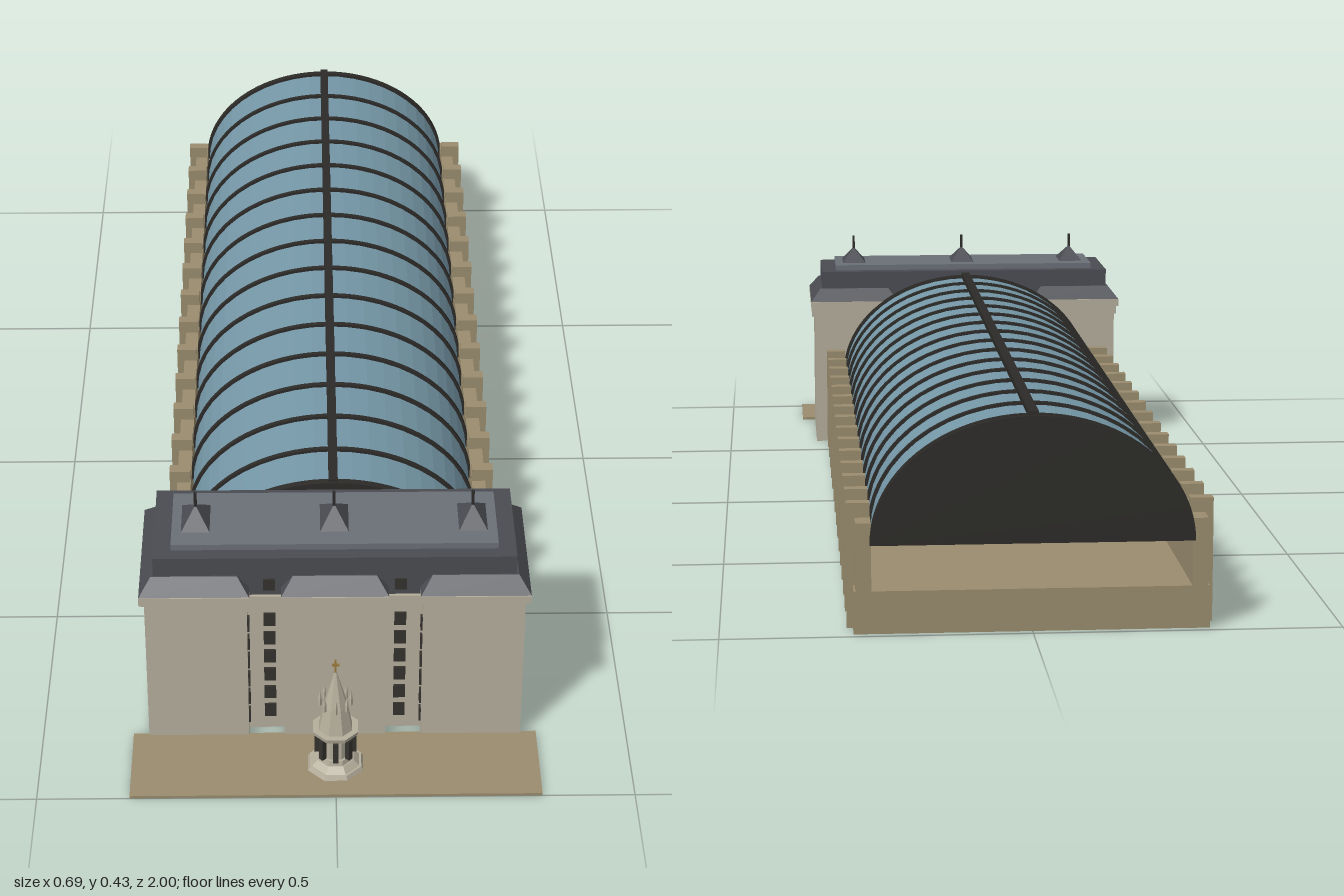
import * as THREE from 'three';

const mat = (color, flat = true) =>
  new THREE.MeshStandardMaterial({ color, flatShading: flat, side: THREE.DoubleSide });
const stone = mat(0xb5ae9c), brick = mat(0x9a8c6e), slate = mat(0x4a4c52), lead = mat(0x6b7078);
const iron = mat(0x2c2b28), glass = mat(0x7597a7), gold = mat(0x9a7a3c), windowMat = mat(0x35322e);

function add(parent, name, geo, material, x = 0, y = 0, z = 0) {
  const m = new THREE.Mesh(geo, material);
  m.name = name;
  m.position.set(x, y, z);
  parent.add(m);
  return m;
}

// Box given by its limits
function box(parent, name, material, x0, x1, y0, y1, z0, z1) {
  return add(parent, name, new THREE.BoxGeometry(x1 - x0, y1 - y0, z1 - z0), material,
    (x0 + x1) / 2, (y0 + y1) / 2, (z0 + z1) / 2);
}

// Block whose top is drawn in by dx and dz on every side
function taperedBox(parent, name, material, x0, x1, y0, y1, z0, z1, dx, dz) {
  const m = box(parent, name, material, x0, x1, y0, y1, z0, z1);
  const p = m.geometry.attributes.position;
  for (let i = 0; i < p.count; i++) {
    if (p.getY(i) > 0) {
      p.setX(i, p.getX(i) - Math.sign(p.getX(i)) * dx);
      p.setZ(i, p.getZ(i) - Math.sign(p.getZ(i)) * dz);
    }
  }
  m.geometry.computeVertexNormals();
  return m;
}

// Half-ellipse extruded along z, optionally hollowed to a thin arch
function archGeometry(rx, ry, depth, band = 0) {
  const s = new THREE.Shape();
  s.absellipse(0, 0, rx, ry, 0, Math.PI, false);
  if (band) s.absellipse(0, 0, rx - band, ry - band, Math.PI, 0, true);
  s.closePath();
  const g = new THREE.ExtrudeGeometry(s, { depth, bevelEnabled: false, curveSegments: 24 });
  return g.translate(0, 0, -depth / 2);
}

function createHeadBuilding() {
  const g = new THREE.Group();
  g.name = 'headBuilding';
  g.position.z = 0.718;
  const D = 0.124, R = 0.098; // half depths of pavilions and of recessed bays

  box(g, 'recessedWall', stone, -0.31, 0.31, 0, 0.285, -R, R);
  box(g, 'stringCourse', stone, -0.325, 0.325, 0.265, 0.285, -R - 0.006, R + 0.006);

  // Three pavilions with cornice and sloping roof skirt
  for (const [x0, x1] of [[-0.318, -0.147], [-0.086, 0.086], [0.147, 0.318]]) {
    box(g, 'pavilion', stone, x0, x1, 0, 0.287, -D, D);
    const c0 = x0 - (x0 < -0.3 ? 0.009 : 0.004), c1 = x1 + (x1 > 0.3 ? 0.009 : 0.004);
    box(g, 'cornice', stone, c0, c1, 0.285, 0.3, -D - 0.005, D + 0.005);
    taperedBox(g, 'roofSkirt', slate, c0, c1, 0.3, 0.325, -D - 0.003, D + 0.003, 0.02, 0.026);
  }

  // Main roof and flat cap
  box(g, 'mainRoof', slate, -0.303, 0.303, 0.285, 0.36, -R - 0.001, R + 0.001);
  box(g, 'roofCap', lead, -0.273, 0.273, 0.36, 0.371, -0.075, 0.075);

  // Roof lanterns with finials
  for (const x of [-0.233, 0, 0.233]) {
    taperedBox(g, 'roofLantern', slate, x - 0.024, x + 0.024, 0.371, 0.398, -0.04, 0.04, 0.022, 0.036);
    box(g, 'finial', iron, x - 0.0025, x + 0.0025, 0.395, 0.425, -0.0025, 0.0025);
  }

  // Windows in the recesses, on the returns and in the roof
  for (const s of [-1, 1]) {
    for (let i = 0; i < 6; i++) {
      const y = 0.04 + i * 0.0388;
      add(g, 'recessWindow', new THREE.BoxGeometry(0.02, 0.026, 0.005), windowMat, s * 0.11, y, R + 0.001);
      add(g, 'returnWindow', new THREE.BoxGeometry(0.005, 0.026, 0.012), windowMat, s * 0.146, y, R + 0.013);
    }
    add(g, 'roofWindow', new THREE.BoxGeometry(0.02, 0.022, 0.006), windowMat, s * 0.11, 0.307, R + 0.001);
  }
  return g;
}

function createHall() {
  const g = new THREE.Group();
  g.name = 'trainHall';
  const z0 = -0.986, z1 = 0.588, bays = 15, bay = (z1 - z0) / bays, mid = (z0 + z1) / 2;
  const spring = 0.147, rx = 0.255, ry = 0.203;

  box(g, 'platformBase', brick, -0.286, 0.286, 0, 0.07, z0, z1);
  for (const s of [-1, 1]) {
    add(g, 'sideWall', new THREE.BoxGeometry(0.025, 0.112, z1 - z0), brick, s * 0.27, 0.125, mid);
    for (let i = 0; i < bays; i++)
      add(g, 'pilaster', new THREE.BoxGeometry(0.038, 0.205, 0.022), brick,
        s * 0.277, 0.1025, z0 + (i + 0.5) * bay);
  }

  // Barrel-vaulted glass roof
  const vault = new THREE.CylinderGeometry(1, 1, z1 - z0, 24, 1, true, -Math.PI / 2, Math.PI);
  vault.rotateX(-Math.PI / 2).scale(rx, ry, 1);
  add(g, 'glassVault', vault, glass, 0, spring, mid);

  // Iron ribs, ridge and end screens
  const rib = archGeometry(rx + 0.005, ry + 0.005, 0.009, 0.01);
  for (let i = 0; i <= bays; i++) add(g, 'rib', rib, iron, 0, spring, z0 + i * bay);
  box(g, 'ridge', iron, -0.008, 0.008, 0.347, 0.36, z0 - 0.008, z1);
  const screen = archGeometry(rx + 0.005, ry + 0.003, 0.012);
  add(g, 'rearScreen', screen, iron, 0, spring, -0.993);
  add(g, 'frontScreen', screen, iron, 0, spring, z1 - 0.006);
  return g;
}

function createMonument() {
  const g = new THREE.Group();
  g.name = 'monument';
  g.position.z = 0.918;
  const tier = (name, rTop, rBottom, y0, y1) => {
    const c = new THREE.CylinderGeometry(rTop, rBottom, y1 - y0, 8);
    return add(g, name, c.rotateY(Math.PI / 8), stone, 0, (y0 + y1) / 2, 0);
  };
  tier('lowerStep', 0.047, 0.051, 0.004, 0.012);
  tier('middleStep', 0.033, 0.043, 0.012, 0.022);
  tier('upperStep', 0.029, 0.031, 0.022, 0.031);
  tier('body', 0.025, 0.025, 0.031, 0.077);
  tier('gallery', 0.041, 0.039, 0.077, 0.085);
  tier('upperBody', 0.021, 0.03, 0.085, 0.132);
  tier('spire', 0.002, 0.021, 0.132, 0.2);

  // Ring of statues below, ring of pinnacles above
  for (let i = 0; i < 8; i++) {
    const a = i * Math.PI / 4, x = Math.sin(a), z = Math.cos(a);
    add(g, 'statue', new THREE.BoxGeometry(0.009, 0.04, 0.009), windowMat, x * 0.031, 0.053, z * 0.031)
      .rotation.y = a;
    add(g, 'pinnacle', new THREE.CylinderGeometry(0.003, 0.003, 0.014, 4), stone, x * 0.026, 0.138, z * 0.026);
    add(g, 'pinnacleTip', new THREE.ConeGeometry(0.0035, 0.015, 4), stone, x * 0.026, 0.152, z * 0.026);
  }

  box(g, 'crossPost', gold, -0.0015, 0.0015, 0.197, 0.225, -0.0015, 0.0015);
  box(g, 'crossArm', gold, -0.006, 0.006, 0.213, 0.217, -0.0015, 0.0015);
  return g;
}

export function createModel() {
  const model = new THREE.Group();
  model.name = 'railwayStation';
  model.add(createHeadBuilding(), createHall(), createMonument());
  box(model, 'forecourt', brick, -0.345, 0.345, 0, 0.005, 0.838, 1);
  return model;
}
